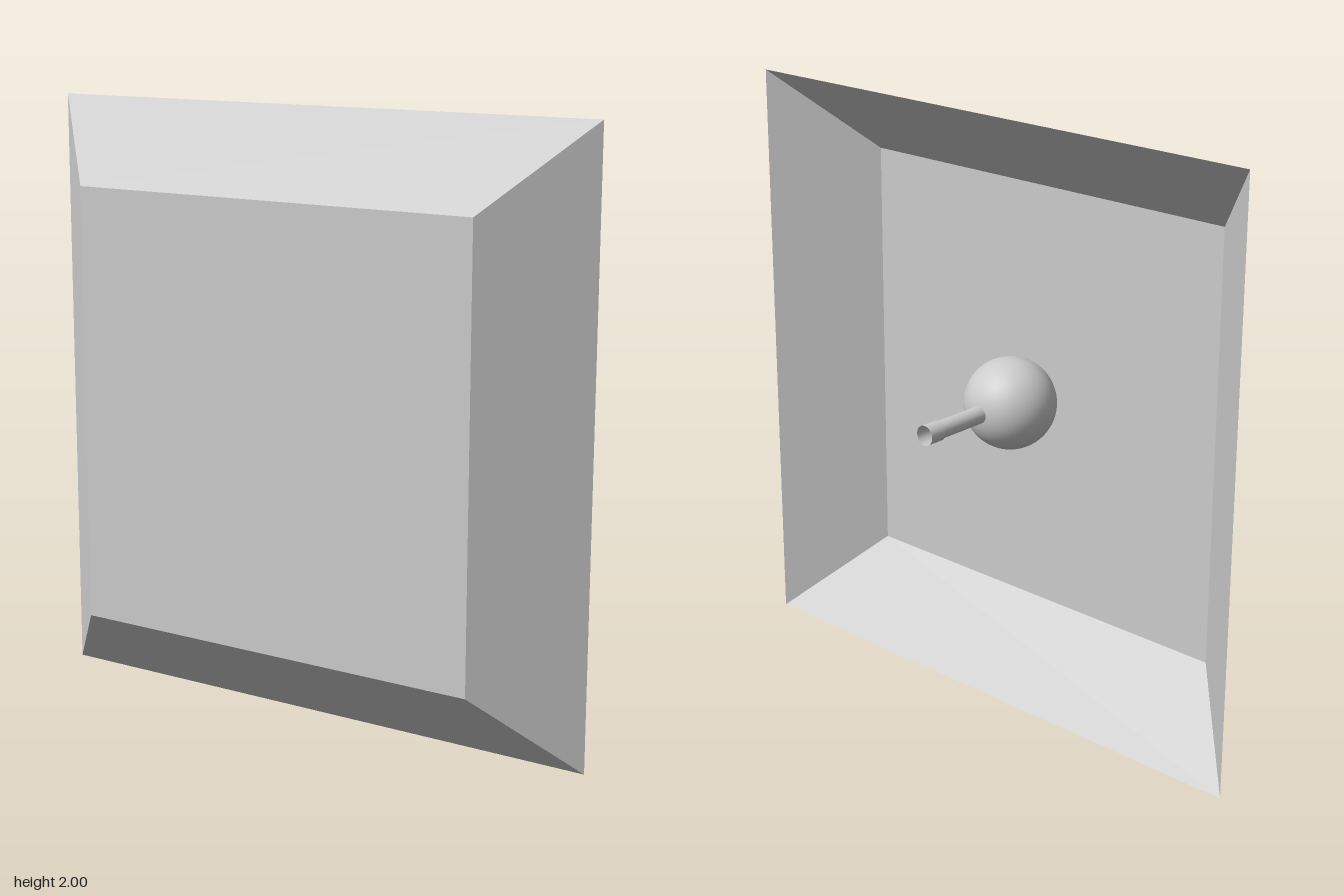
import * as THREE from 'three';

const grey = (options = {}) => new THREE.MeshStandardMaterial({ color: 0xcccccc, ...options });

function addPart(parent, name, geometry, material, x = 0, y = 0, z = 0) {
  const mesh = new THREE.Mesh(geometry, material);
  mesh.name = name;
  mesh.position.set(x, y, z);
  parent.add(mesh);
  return mesh;
}

export function createModel() {
  const model = new THREE.Group();
  model.name = 'squareDish';

  const frontZ = 0.277, backZ = 0.008, frontHalf = 0.728;
  const depth = frontZ - backZ;
  const sheet = grey({ side: THREE.DoubleSide, flatShading: true });

  // Tray: four sloping walls, open at the back, and a flat front panel
  const walls = new THREE.CylinderGeometry(frontHalf * Math.SQRT2, Math.SQRT2, depth, 4, 1, true)
    .rotateY(Math.PI / 4).rotateX(Math.PI / 2);
  addPart(model, 'slopingWalls', walls, sheet, 0, 1, (frontZ + backZ) / 2);
  addPart(model, 'frontPanel', new THREE.PlaneGeometry(2 * frontHalf, 2 * frontHalf), sheet, 0, 1, frontZ);

  // Ball mount held inside the tray, with its arm pointing backwards
  const mount = new THREE.Group();
  mount.name = 'ballMount';
  mount.position.set(-0.012, 1.028, 0);
  model.add(mount);
  addPart(mount, 'ball', new THREE.SphereGeometry(0.153, 48, 32), grey(), 0, 0, 0.123);

  const arm = new THREE.CylinderGeometry(0.029, 0.029, 0.237, 32, 1, true).rotateX(-Math.PI / 2);
  addPart(mount, 'arm', arm, grey({ side: THREE.DoubleSide }), 0, 0, -0.1085);

  // Slightly wider open sleeve at the end of the arm
  const sleeve = new THREE.CylinderGeometry(0.033, 0.033, 0.06, 32, 1, true).rotateX(-Math.PI / 2);
  addPart(mount, 'sleeve', sleeve, grey({ side: THREE.DoubleSide }), 0, 0, -0.247);
  const shoulder = new THREE.RingGeometry(0.029, 0.033, 32);
  addPart(mount, 'sleeveShoulder', shoulder, grey({ side: THREE.DoubleSide }), 0, 0, -0.217);

  return model;
}
